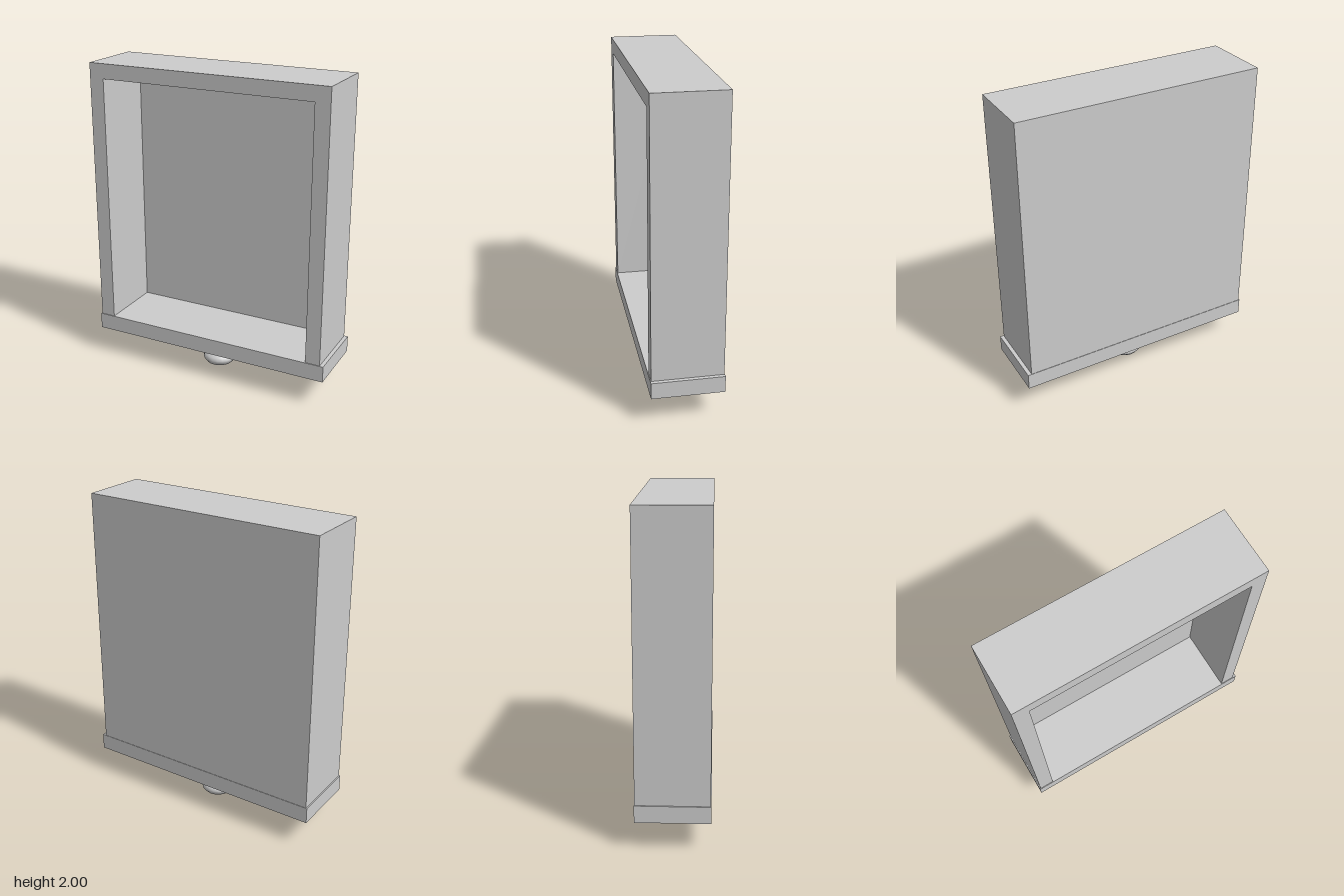
import * as THREE from 'three';

const grey = new THREE.MeshStandardMaterial({ color: 0xcccccc });
grey.name = 'plain grey';

function rect(P, x0, x1, y0, y1) {
  const p = new P();
  p.moveTo(x0, y0);
  p.lineTo(x1, y0);
  p.lineTo(x1, y1);
  p.lineTo(x0, y1);
  p.closePath();
  return p;
}

export function createModel() {
  const group = new THREE.Group();
  group.name = 'drawer';
  const add = (name, geometry, x = 0, y = 0, z = 0) => {
    const mesh = new THREE.Mesh(geometry, grey);
    mesh.name = name;
    mesh.position.set(x, y, z);
    group.add(mesh);
  };

  const left = -0.8, right = 0.783, base = 0.285, top = 2;
  const back = -0.221, front = 0.219, floor = 0.015;

  // Side and end walls: a U-shaped frame that opens towards the drawer front
  const frame = new THREE.Shape([
    [left, base], [-0.704, base], [-0.704, 1.905], [0.688, 1.905],
    [0.688, base], [right, base], [right, top], [left, top],
  ].map(([x, y]) => new THREE.Vector2(x, y)));
  add('walls', new THREE.ExtrudeGeometry(frame,
    { depth: front - back - floor, bevelEnabled: false }), 0, 0, back + floor);

  // Thin drawer bottom
  add('bottomPanel', new THREE.ExtrudeGeometry(rect(THREE.Shape, left, right, base, top),
    { depth: floor, bevelEnabled: false }), 0, 0, back);

  // Drawer front: straight slab, then a raised field with sloping borders
  const slabW = 1.615, slabD = 0.447;
  add('frontSlab', new THREE.BoxGeometry(slabW, 0.105, slabD), 0, 0.2325, 0);
  const bevel = new THREE.BoxGeometry(slabW, 0.05, slabD);
  const pos = bevel.attributes.position;
  for (let i = 0; i < pos.count; i++) {
    if (pos.getY(i) < 0) {
      pos.setX(i, Math.sign(pos.getX(i)) * 0.697);
      pos.setZ(i, Math.sign(pos.getZ(i)) * 0.114);
    }
  }
  const bevelFaces = bevel.toNonIndexed();
  bevelFaces.computeVertexNormals();
  add('frontBevel', bevelFaces, 0, 0.155, 0);

  // Turned knob
  const profile = [
    [0, 0], [0.05, 0.008], [0.088, 0.024], [0.105, 0.045], [0.108, 0.06],
    [0.102, 0.08], [0.08, 0.095], [0.045, 0.106], [0.035, 0.118], [0.032, 0.135],
  ].map(([r, y]) => new THREE.Vector2(r, y));
  add('knob', new THREE.LatheGeometry(profile, 20), -0.01, 0, 0);

  return group;
}
